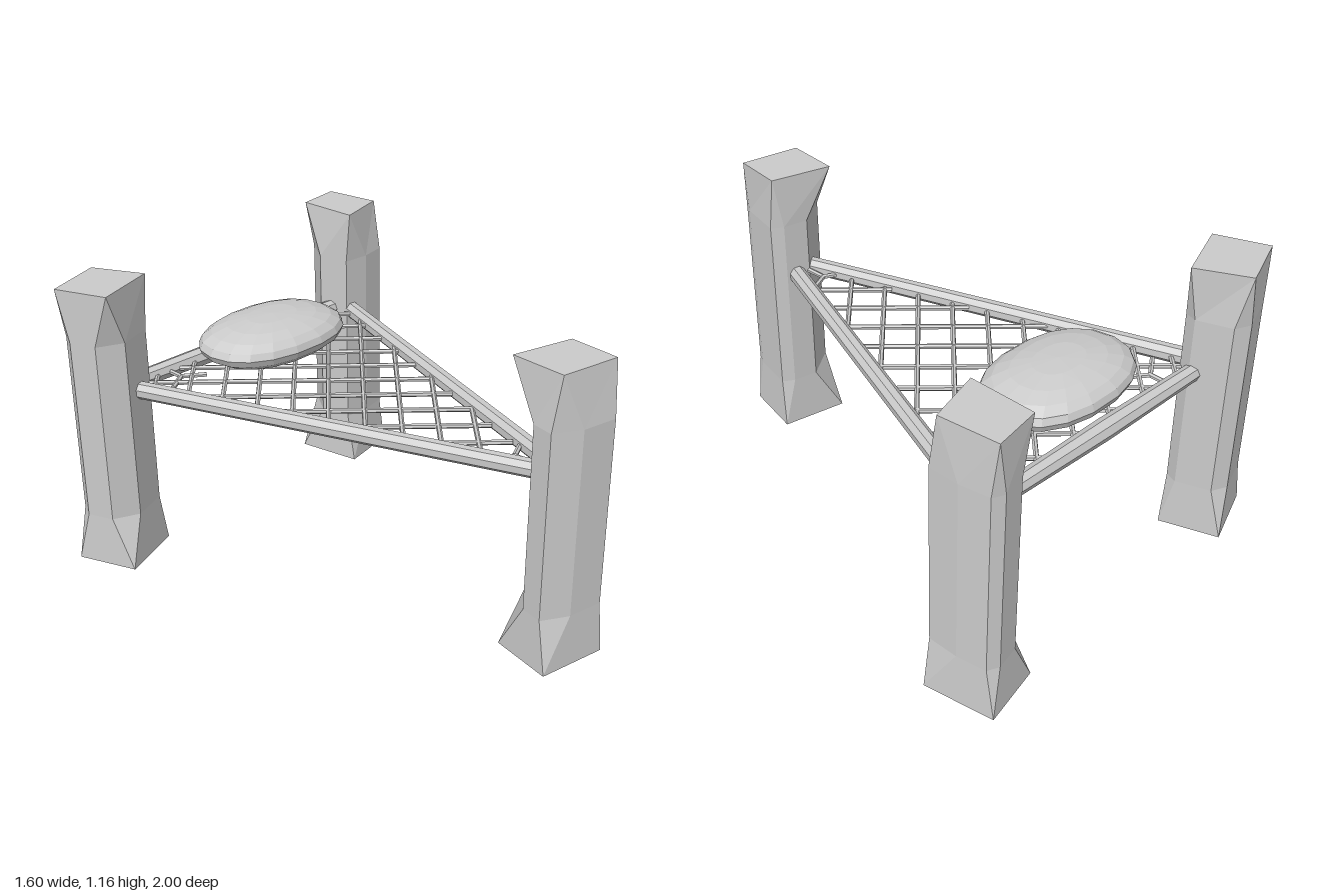
import * as THREE from 'three';

const grey = new THREE.MeshStandardMaterial({ color: 0xcccccc, flatShading: true });
const V = (x, y, z) => new THREE.Vector3(x, y, z);

function add(parent, geometry, name) {
  const mesh = new THREE.Mesh(geometry, grey);
  mesh.name = name;
  parent.add(mesh);
  return mesh;
}

// Hewn post: square foot and head, chamfered shaft between.
// Corners run front left, front right, back right, back left as [x, z];
// cuts give the chamfer length on the edge before and after each corner.
function postGeometry(base, top, cuts) {
  const cx = base.reduce((s, p) => s + p[0], 0) / 4;
  const cz = base.reduce((s, p) => s + p[1], 0) / 4;
  const inset = base.map(([x, z]) => [cx + (x - cx) * 0.95, cz + (z - cz) * 0.95]);
  const toward = (a, b, d) => {
    const t = d / Math.hypot(b[0] - a[0], b[1] - a[1]);
    return [a[0] + (b[0] - a[0]) * t, a[1] + (b[1] - a[1]) * t];
  };
  const shaft = inset.flatMap((p, i) => [
    toward(p, inset[(i + 3) % 4], cuts[i][0]),
    toward(p, inset[(i + 1) % 4], cuts[i][1]),
  ]);
  const doubled = (c) => c.flatMap((p) => [p, p]);
  const lift = (ring, y) => ring.map(([x, z]) => V(x, y, z));
  const rings = [lift(doubled(base), 0), lift(shaft, 0.21), lift(shaft, 0.95), lift(doubled(top), 1.16)];

  const points = [];
  const tri = (a, b, c) => {
    if (!a.equals(b) && !b.equals(c) && !c.equals(a)) points.push(a, b, c);
  };
  for (let r = 0; r < 3; r++) {
    for (let i = 0; i < 8; i++) {
      const j = (i + 1) % 8;
      const [lo, hi] = [rings[r], rings[r + 1]];
      tri(lo[i], lo[j], hi[j]);
      tri(lo[i], hi[j], hi[i]);
    }
  }
  const [b, t] = [rings[0], rings[3]];
  tri(t[0], t[2], t[4]);
  tri(t[0], t[4], t[6]);
  tri(b[4], b[2], b[0]);
  tri(b[6], b[4], b[0]);
  const geometry = new THREE.BufferGeometry().setFromPoints(points);
  geometry.computeVertexNormals();
  return geometry;
}

// Straight bar between two points, optionally thicker in the middle
function bar(parent, a, b, radius, sides, name, bulge = 0) {
  const length = a.distanceTo(b);
  const geometry = new THREE.CylinderGeometry(radius, radius, length, sides, bulge ? 4 : 1);
  const pos = geometry.attributes.position;
  for (let i = 0; i < pos.count; i++) {
    const k = 1 + bulge * (1 - Math.abs(pos.getY(i)) / (length / 2));
    pos.setX(i, pos.getX(i) * k);
    pos.setZ(i, pos.getZ(i) * k);
  }
  geometry.computeVertexNormals();
  const mesh = add(parent, geometry, name);
  mesh.position.copy(a).add(b).multiplyScalar(0.5);
  mesh.quaternion.setFromUnitVectors(V(0, 1, 0), b.clone().sub(a).normalize());
}

export function createModel() {
  const model = new THREE.Group();
  model.name = 'hammock';

  // Three posts
  add(model, postGeometry(
    [[-0.15, 0.94], [0.12, 0.995], [0.17, 0.75], [-0.1, 0.695]],
    [[-0.11, 0.915], [0.125, 0.96], [0.145, 0.76], [-0.095, 0.695]],
    [[0.04, 0.11], [0.01, 0.04], [0.02, 0.05], [0.11, 0.11]]), 'frontPost');
  add(model, postGeometry(
    [[-0.71, -0.67], [-0.455, -0.77], [-0.54, -1], [-0.8, -0.905]],
    [[-0.71, -0.69], [-0.46, -0.78], [-0.56, -0.98], [-0.79, -0.895]],
    [[0.08, 0.08], [0.03, 0.04], [0.05, 0.05], [0.05, 0.05]]), 'backRightPost');
  add(model, postGeometry(
    [[0.55, -0.67], [0.8, -0.72], [0.745, -0.997], [0.5, -0.945]],
    [[0.555, -0.69], [0.766, -0.75], [0.735, -0.98], [0.55, -0.95]],
    [[0.03, 0.11], [0.02, 0.12], [0.03, 0.04], [0.1, 0.1]]), 'backLeftPost');

  // Triangular frame
  const h = 0.72;
  bar(model, V(-0.58, h, -0.8), V(-0.015, h, 0.76), 0.035, 8, 'rightRail');
  bar(model, V(0.6, h, -0.76), V(0.06, h, 0.76), 0.035, 8, 'leftRail');
  bar(model, V(-0.6, h, -0.82), V(0.61, h, -0.79), 0.033, 8, 'backRail', 0.25);

  // Diagonal net, each cord clipped to the frame
  const net = new THREE.Group();
  net.name = 'net';
  model.add(net);
  const corners = [[-0.565, -0.79], [0.595, -0.79], [0.025, 0.74]];
  for (const s of [1, -1]) {
    for (let k = -7; k <= 4; k++) {
      const c = 0.49 + (k - 2) * 0.19;
      const hits = [];
      corners.forEach((p, i) => {
        const q = corners[(i + 1) % 3];
        const dp = s * p[0] + p[1] - c;
        const dq = s * q[0] + q[1] - c;
        if (dp * dq >= 0) return;
        const t = dp / (dp - dq);
        hits.push(V(p[0] + (q[0] - p[0]) * t, h, p[1] + (q[1] - p[1]) * t));
      });
      if (hits.length === 2 && hits[0].distanceTo(hits[1]) > 0.12) {
        bar(net, hits[0], hits[1], 0.01, 6, 'cord');
      }
    }
  }
  // Forked cords in the corners
  const forks = [
    [[0.01, 0.645], [[0.015, 0.74], [-0.06, 0.61], [0.085, 0.61]]],
    [[-0.37, -0.72], [[-0.37, -0.79], [-0.46, -0.66], [-0.29, -0.66]]],
    [[0.38, -0.72], [[0.38, -0.79], [0.47, -0.66], [0.3, -0.66]]],
  ];
  for (const [[x, z], ends] of forks) {
    for (const [ex, ez] of ends) bar(net, V(x, h, z), V(ex, h, ez), 0.01, 6, 'forkCord');
  }

  // Plump pillow at the back, slightly squared
  const pillow = new THREE.SphereGeometry(1, 18, 10);
  const pos = pillow.attributes.position;
  const square = (v) => Math.sign(v) * Math.abs(v) ** 0.9;
  for (let i = 0; i < pos.count; i++) {
    pos.setXYZ(i, square(pos.getX(i)) * 0.325, pos.getY(i) * 0.088, square(pos.getZ(i)) * 0.222);
  }
  pillow.computeVertexNormals();
  add(model, pillow, 'pillow').position.set(0, 0.828, -0.587);

  return model;
}
